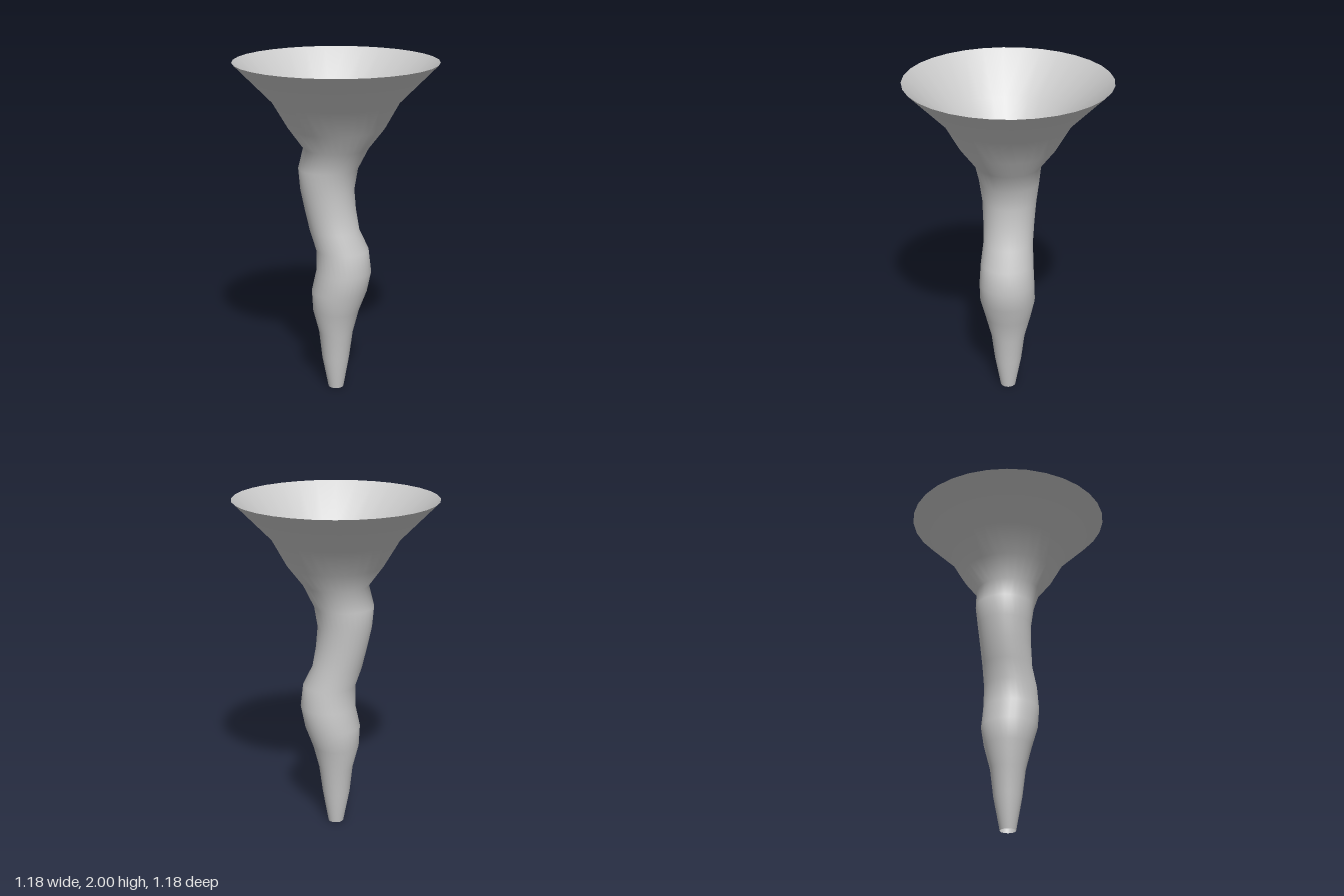
import * as THREE from 'three';
import { mergeVertices } from 'three/addons/utils/BufferGeometryUtils.js';

// Horizontal rings from the stem tip to the rim: [height, radius, sideways offset]
const RINGS = [
  [0, 0.046, 0], [0.195, 0.082, -0.002], [0.36, 0.102, 0], [0.5, 0.138, 0],
  [0.625, 0.165, 0.021], [0.75, 0.164, 0.048], [0.885, 0.156, 0.04],
  [1, 0.147, -0.008], [1.125, 0.151, -0.034], [1.25, 0.159, -0.053],
  [1.375, 0.175, -0.048], [1.5, 0.191, 0], [1.62, 0.281, 0.003],
  [1.775, 0.37, 0], [2, 0.592, 0],
];

export function createModel() {
  const group = new THREE.Group();
  group.name = 'funnel';

  // Turned open shell
  const profile = RINGS.map(([y, r]) => new THREE.Vector2(r, y));
  let shell = new THREE.LatheGeometry(profile, 32);

  // Shift each ring sideways to make the stem wind
  const pos = shell.attributes.position;
  for (let i = 0; i < pos.count; i++) {
    pos.setX(i, pos.getX(i) + RINGS[i % RINGS.length][2]);
  }

  // Close the seam and smooth the surface
  shell.deleteAttribute('uv');
  shell.deleteAttribute('normal');
  shell = mergeVertices(shell, 1e-4);
  shell.computeVertexNormals();

  const material = new THREE.MeshStandardMaterial({ color: 0xcccccc, side: THREE.DoubleSide });
  const mesh = new THREE.Mesh(shell, material);
  mesh.name = 'windingFunnelShell';
  group.add(mesh);
  return group;
}
